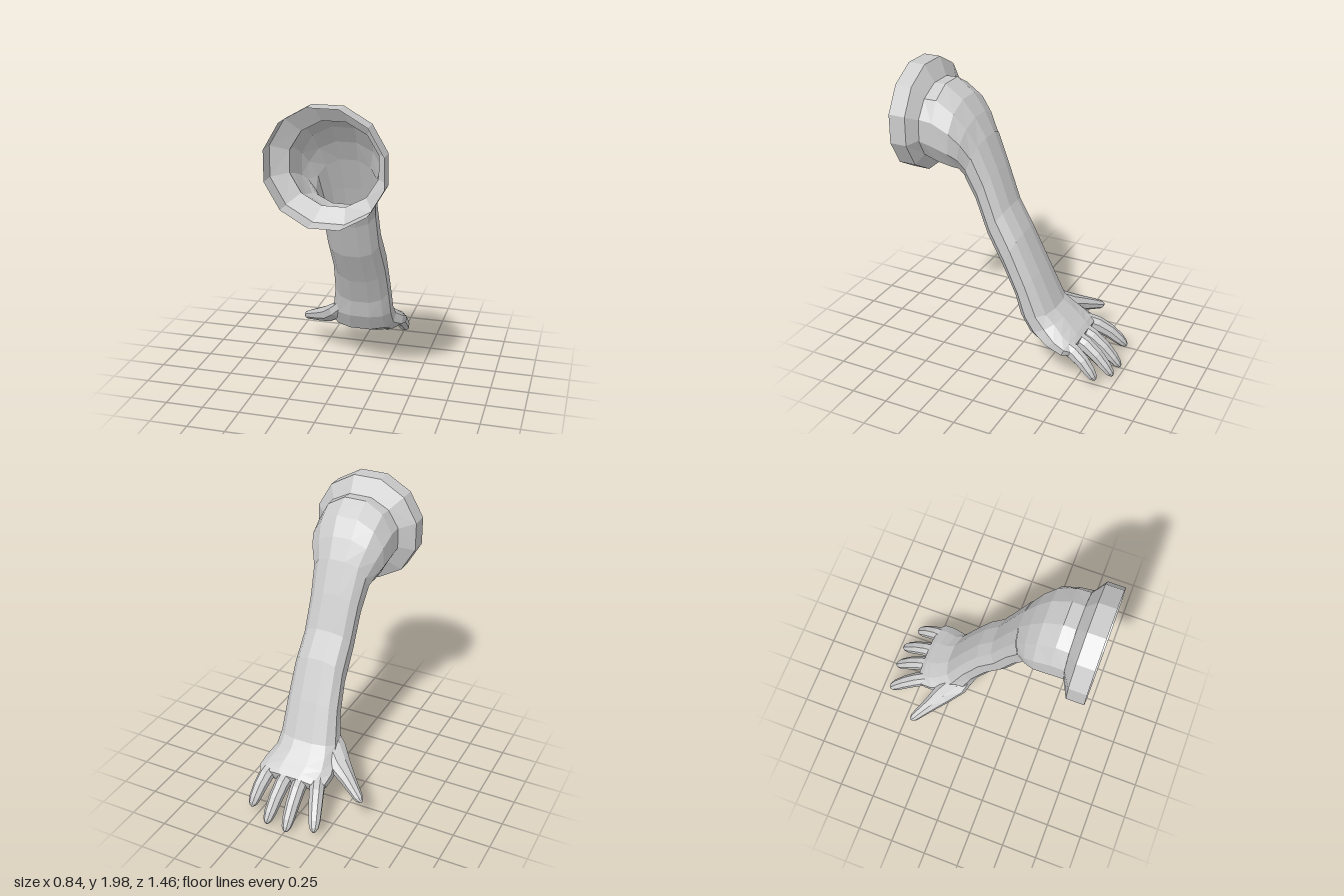
import * as THREE from 'three';

const material = new THREE.MeshStandardMaterial({ color: 0xcccccc, flatShading: true, side: THREE.DoubleSide });
const V = (x, y, z) => new THREE.Vector3(x, y, z);

// Skin a list of equal-length point rings, optionally closing the far end at a tip point.
function loft(name, rings, tip) {
  const n = rings[0].length;
  const pos = rings.flat().flatMap((p) => [p.x, p.y, p.z]);
  const index = [];
  for (let i = 0; i < rings.length - 1; i++) {
    for (let k = 0; k < n; k++) {
      const a = i * n + k, b = i * n + (k + 1) % n;
      index.push(a, a + n, b, b, a + n, b + n);
    }
  }
  if (tip) {
    pos.push(tip.x, tip.y, tip.z);
    const start = (rings.length - 1) * n, end = rings.length * n;
    for (let k = 0; k < n; k++) index.push(start + k, end, start + (k + 1) % n);
  }
  const geometry = new THREE.BufferGeometry();
  geometry.setAttribute('position', new THREE.Float32BufferAttribute(pos, 3));
  geometry.setIndex(index);
  geometry.computeVertexNormals();
  const mesh = new THREE.Mesh(geometry, material);
  mesh.name = name;
  return mesh;
}

// Ring around a centre with half axes u and v; power below 1 squares it off.
function ring(c, u, v, sides, power = 1) {
  const fit = 1 / Math.cos(Math.PI / sides);
  const shape = (t) => Math.sign(t) * Math.min(1, Math.abs(t * fit)) ** power;
  return Array.from({ length: sides }, (_, k) => {
    const a = ((k + 0.5) / sides) * Math.PI * 2;
    return c.clone().addScaledVector(u, shape(Math.cos(a))).addScaledVector(v, shape(Math.sin(a)));
  });
}

// Limb section: [upper y, upper z, lower y, lower z, x min, x max]
function section([y1, z1, y0, z0, x0, x1], power) {
  return ring(
    V((x0 + x1) / 2, (y0 + y1) / 2, (z0 + z1) / 2),
    V((x1 - x0) / 2, 0, 0),
    V(0, (y1 - y0) / 2, (z1 - z0) / 2), 12, power);
}

// Tapered digit following a curve; stops: [x, y, z, half width, half thickness]
function digit(name, stops, sides = 8) {
  const points = stops.map((s) => V(s[0], s[1], s[2]));
  const rings = stops.map((s, i) => {
    const t = points[Math.min(i + 1, points.length - 1)].clone()
      .sub(points[Math.max(i - 1, 0)]).normalize();
    const u = t.clone().cross(V(0, 1, 0)).normalize();
    const v = u.clone().cross(t);
    return ring(points[i], u.multiplyScalar(s[3]), v.multiplyScalar(s[4]), sides);
  });
  const n = points.length;
  const tip = points[n - 1].clone().addScaledVector(
    points[n - 1].clone().sub(points[n - 2]).normalize(), 0.008);
  return loft(name, rings, tip);
}

export function createModel() {
  const model = new THREE.Group();
  model.name = 'wallMountedArm';

  // Open twelve-sided mounting cup
  const neck = [1.89, 0.55, 1.38, 0.57, -0.195, 0.35];
  model.add(loft('mountingCup', [
    [2.0, 0.73, 1.285, 0.73, -0.3, 0.42],
    [2.0, 0.615, 1.285, 0.615, -0.3, 0.42],
    neck,
  ].map((s) => section(s))));

  // Rounded shoulder bending down into the arm
  const armTop = [1.57, 0.2, 1.28, 0.325, -0.115, 0.265];
  model.add(loft('shoulder', [
    neck,
    [1.895, 0.47, 1.34, 0.47, -0.19, 0.345],
    [1.81, 0.35, 1.33, 0.38, -0.18, 0.335],
    [1.7, 0.27, 1.33, 0.35, -0.155, 0.305],
    armTop,
  ].map((s) => section(s, 0.95))));

  // Forearm
  const wrist = [0.45, -0.3, 0.4, -0.065, -0.125, 0.28];
  model.add(loft('forearm', [
    armTop,
    [1.36, 0.115, 1.15, 0.26, -0.095, 0.25],
    [1.13, 0.03, 0.92, 0.175, -0.085, 0.255],
    [0.96, -0.07, 0.7, 0.05, -0.08, 0.27],
    [0.7, -0.19, 0.52, -0.035, -0.095, 0.275],
    wrist,
  ].map((s) => section(s, 0.85))));

  // Palm bent forward at the wrist, closed at the knuckles
  model.add(loft('palm', [
    wrist,
    [0.4, -0.36, 0.28, -0.135, -0.15, 0.285],
    [0.35, -0.42, 0.22, -0.27, -0.17, 0.32],
    [0.315, -0.465, 0.19, -0.41, -0.16, 0.33],
    [0.285, -0.495, 0.2, -0.46, -0.125, 0.305],
  ].map((s) => section(s, 0.85)), V(0.09, 0.24, -0.485)));

  // Fingers: knuckle x and z, tip x, y and z
  const fingers = {
    indexFinger: [-0.095, -0.42, -0.198, 0.078, -0.68],
    middleFinger: [0.015, -0.43, -0.006, 0.035, -0.71],
    ringFinger: [0.12, -0.43, 0.134, 0.05, -0.71],
    littleFinger: [0.25, -0.42, 0.282, 0.092, -0.645],
  };
  for (const [name, [bx, bz, tx, ty, tz]] of Object.entries(fingers)) {
    const at = (t, rise, w, h) => [
      bx + (tx - bx) * t, 0.26 + (ty - 0.26) * t + rise, bz + (tz - bz) * t, w, h];
    model.add(digit(name, [
      at(0, 0, 0.05, 0.05),
      at(0.3, 0.025, 0.047, 0.05),
      at(0.6, 0.028, 0.044, 0.044),
      at(0.85, 0.012, 0.038, 0.035),
      at(0.96, 0, 0.029, 0.026),
      at(1.02, -0.006, 0.014, 0.014),
    ]));
  }

  // Thumb with its broad web running up to the wrist
  model.add(digit('thumb', [
    [-0.01, 0.48, -0.13, 0.06, 0.05],
    [-0.09, 0.385, -0.19, 0.085, 0.055],
    [-0.18, 0.315, -0.265, 0.072, 0.055],
    [-0.27, 0.272, -0.325, 0.05, 0.045],
    [-0.35, 0.236, -0.382, 0.036, 0.034],
    [-0.395, 0.215, -0.413, 0.028, 0.027],
    [-0.413, 0.207, -0.426, 0.013, 0.013],
  ]));

  return model;
}
